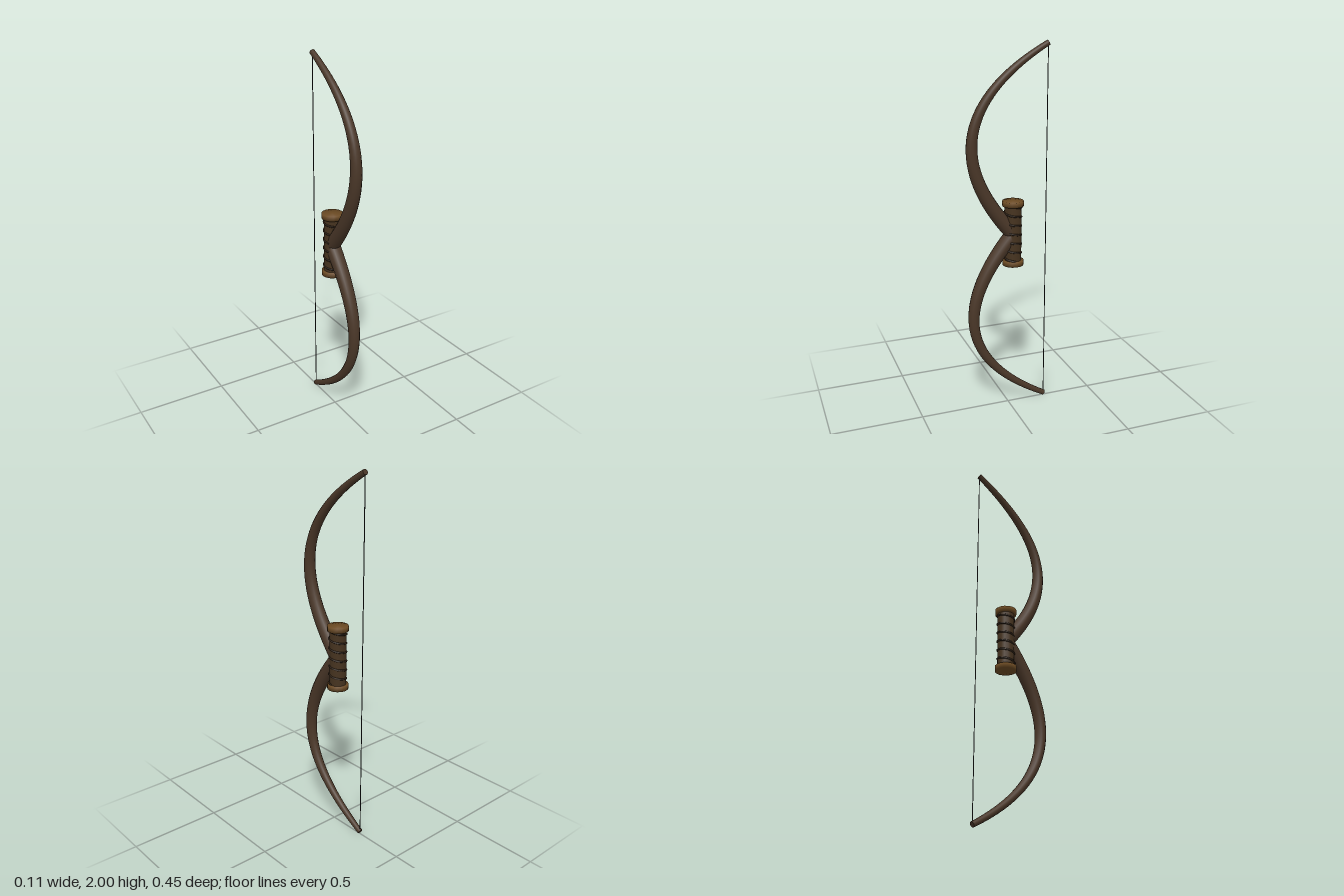
import * as THREE from 'three';
import { mergeVertices } from 'three/addons/utils/BufferGeometryUtils.js';

const GRIP_Z = -0.028;
const GRIP_Y = 1.005;

// Round tube along a curve whose radius shrinks from r0 to r1, with end caps
function taperedTube(curve, r0, r1, steps, sides) {
  const geo = new THREE.TubeGeometry(curve, steps, 1, sides, false);
  const pos = geo.attributes.position;
  const v = new THREE.Vector3();
  for (let i = 0; i <= steps; i++) {
    const t = i / steps;
    const centre = curve.getPointAt(t);
    const r = r0 + (r1 - r0) * t;
    for (let j = 0; j <= sides; j++) {
      const k = i * (sides + 1) + j;
      v.fromBufferAttribute(pos, k).sub(centre).multiplyScalar(r).add(centre);
      pos.setXYZ(k, v.x, v.y, v.z);
    }
  }
  return geo;
}

// Flat disc closing a tube end
function endDisc(curve, t, radius, sides, material) {
  const disc = new THREE.Mesh(new THREE.CircleGeometry(radius, sides), material);
  const dir = curve.getTangentAt(t).multiplyScalar(t === 0 ? -1 : 1);
  disc.position.copy(curve.getPointAt(t));
  disc.quaternion.setFromUnitVectors(new THREE.Vector3(0, 0, 1), dir);
  return disc;
}

// Cylinder with softly shaded rims
function softCylinder(radius, height, sides) {
  const geo = new THREE.CylinderGeometry(radius, radius, height, sides);
  geo.deleteAttribute('uv');
  geo.deleteAttribute('normal');
  const merged = mergeVertices(geo);
  merged.computeVertexNormals();
  return merged;
}

function material(name, color) {
  const m = new THREE.MeshStandardMaterial({ color });
  m.name = name;
  return m;
}

export function createModel() {
  const wood = material('wood', 0x4a3728);
  const leather = material('leather', 0x46331f);
  const cord = material('cord', 0x2e2116);
  const trim = material('trim', 0x6b4a23);
  const stringMat = material('string', 0x2c2c2c);

  const bow = new THREE.Group();
  bow.name = 'bow';
  const add = (parent, name, geo, mat, x = 0, y = 0, z = 0) => {
    const mesh = new THREE.Mesh(geo, mat);
    mesh.name = name;
    mesh.position.set(x, y, z);
    parent.add(mesh);
    return mesh;
  };

  // Two recurving limbs, mirrored about mid height
  for (const s of [1, -1]) {
    const limb = new THREE.Group();
    limb.name = s > 0 ? 'upperLimb' : 'lowerLimb';
    const curve = new THREE.QuadraticBezierCurve3(
      new THREE.Vector3(0, 1, -0.03),
      new THREE.Vector3(0, 1 + s * 0.594, 0.503),
      new THREE.Vector3(0, 1 + s * 0.987, -0.218),
    );
    add(limb, 'limbShaft', taperedTube(curve, 0.042, 0.015, 40, 12), wood);
    for (const [t, r] of [[0, 0.042], [1, 0.015]]) {
      const disc = endDisc(curve, t, r, 12, wood);
      disc.name = t ? 'limbTip' : 'limbRoot';
      limb.add(disc);
    }
    bow.add(limb);
  }

  // Grip core with a collar at each end
  const grip = new THREE.Group();
  grip.name = 'grip';
  grip.position.set(0, GRIP_Y, GRIP_Z);
  add(grip, 'gripCore', new THREE.CylinderGeometry(0.045, 0.045, 0.32, 16), leather);
  for (const s of [1, -1]) {
    add(grip, s > 0 ? 'upperCollar' : 'lowerCollar', softCylinder(0.057, 0.028, 16), trim, 0, s * 0.164, 0);
  }

  // Cord wound around the grip
  const turns = 6;
  const points = [];
  for (let i = 0; i <= turns * 16; i++) {
    const a = (i / 16) * Math.PI * 2;
    points.push(new THREE.Vector3(
      Math.cos(a) * 0.045, -0.15 + (0.3 * i) / (turns * 16), Math.sin(a) * 0.045));
  }
  add(grip, 'gripWrap', new THREE.TubeGeometry(new THREE.CatmullRomCurve3(points), 160, 0.0055, 6), cord);
  bow.add(grip);

  // Taut string between the limb tips
  add(bow, 'string', new THREE.CylinderGeometry(0.0025, 0.0025, 1.97, 6), stringMat, 0, 1, -0.217);

  return bow;
}
